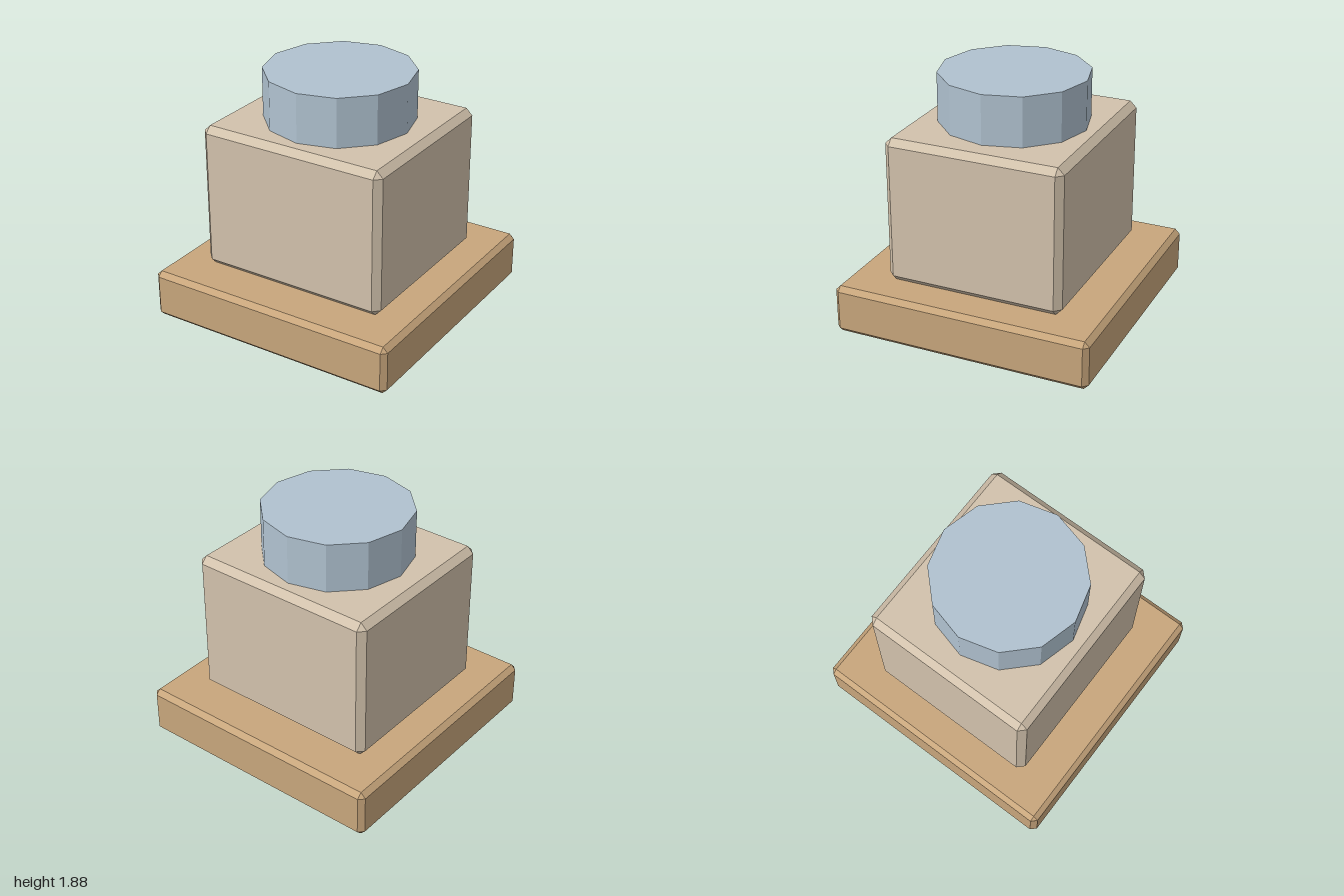
import * as THREE from 'three';
import { ConvexGeometry } from 'three/addons/geometries/ConvexGeometry.js';

// Box with every edge cut at 45 degrees and triangular corners
function chamferedBox(width, height, depth, cut) {
  const points = [];
  const [x, y, z] = [width / 2, height / 2, depth / 2];
  for (const sx of [-1, 1]) for (const sy of [-1, 1]) for (const sz of [-1, 1]) {
    points.push(
      new THREE.Vector3(sx * x, sy * (y - cut), sz * (z - cut)),
      new THREE.Vector3(sx * (x - cut), sy * y, sz * (z - cut)),
      new THREE.Vector3(sx * (x - cut), sy * (y - cut), sz * z)
    );
  }
  return new ConvexGeometry(points);
}

function makeMaterial(name, color) {
  const material = new THREE.MeshStandardMaterial({ color, flatShading: true });
  material.name = name;
  return material;
}

export function createModel() {
  const group = new THREE.Group();
  group.name = 'pedestal';

  const add = (name, geometry, material, y) => {
    const mesh = new THREE.Mesh(geometry, material);
    mesh.name = name;
    mesh.position.y = y;
    group.add(mesh);
  };

  // Wide square slab on the ground
  add('base', chamferedBox(2, 0.375, 2, 0.038), makeMaterial('tan', 0xc8a67c), 0.1875);

  // Slightly shallower block in the middle
  add('body', chamferedBox(1.5, 1.125, 1.375, 0.05), makeMaterial('beige', 0xd2c2ac), 0.9375);

  // Twelve-sided cap on top
  add('cap', new THREE.CylinderGeometry(0.5625, 0.5625, 0.375, 12), makeMaterial('pale blue', 0xb0c2d0), 1.6875);

  return group;
}
